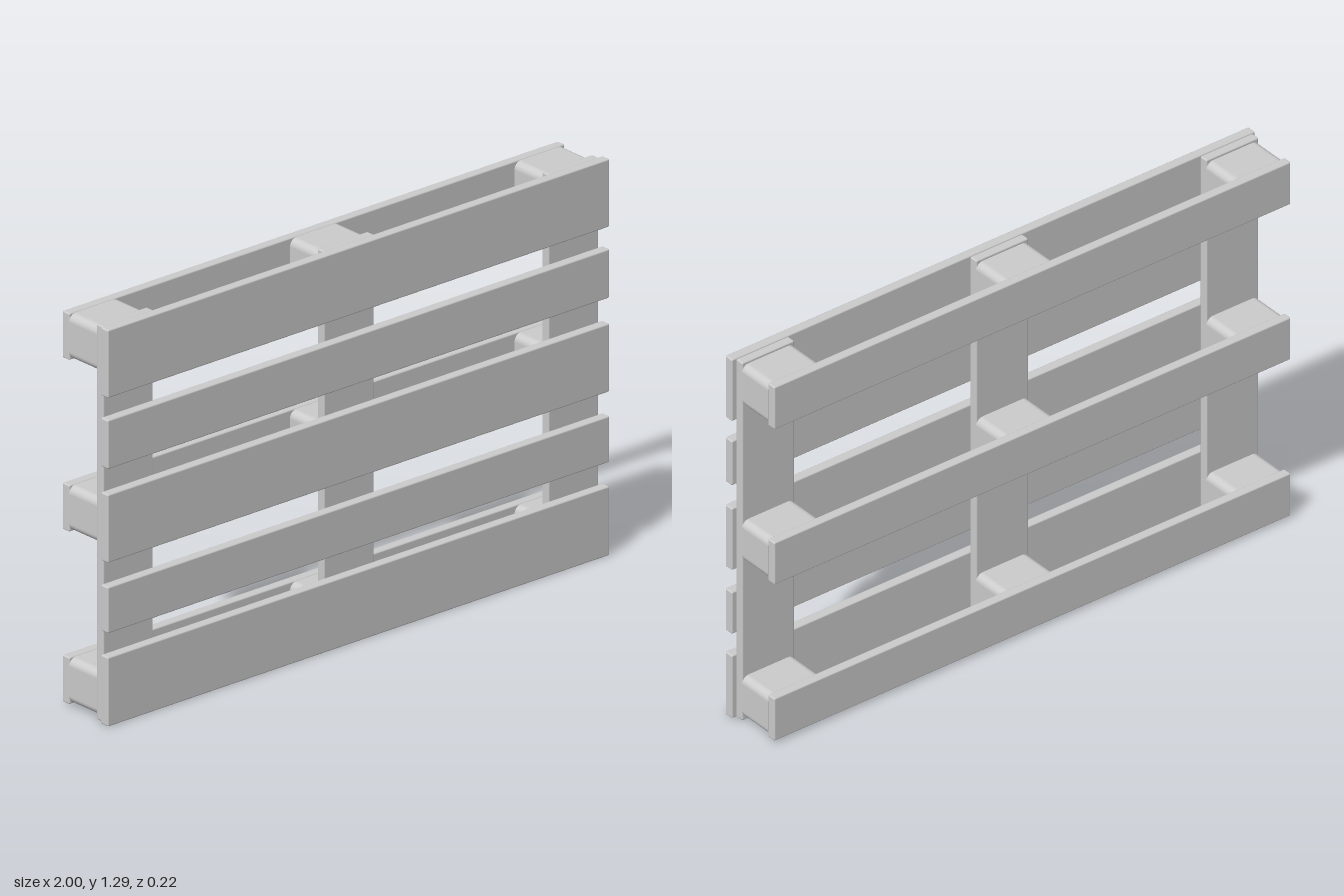
import * as THREE from 'three';
import { RoundedBoxGeometry } from 'three/addons/geometries/RoundedBoxGeometry.js';

const wood = new THREE.MeshStandardMaterial({ color: 0xcccccc });

// Plank with slightly eased edges, given by its extents
function plank(name, [x0, x1], [y0, y1], [z0, z1]) {
  const geometry = new RoundedBoxGeometry(x1 - x0, y1 - y0, z1 - z0, 2, 0.005);
  const mesh = new THREE.Mesh(geometry, wood);
  mesh.position.set((x0 + x1) / 2, (y0 + y1) / 2, (z0 + z1) / 2);
  mesh.name = name;
  return mesh;
}

// Spacer block with rounded edges along its depth
function block(name, [x0, x1], [y0, y1], [z0, z1]) {
  const r = 0.025;
  const s = new THREE.Shape();
  s.moveTo(x0 + r, y0);
  s.absarc(x1 - r, y0 + r, r, -Math.PI / 2, 0);
  s.absarc(x1 - r, y1 - r, r, 0, Math.PI / 2);
  s.absarc(x0 + r, y1 - r, r, Math.PI / 2, Math.PI);
  s.absarc(x0 + r, y0 + r, r, Math.PI, Math.PI * 1.5);
  const geometry = new THREE.ExtrudeGeometry(s, { depth: z1 - z0, bevelEnabled: false, curveSegments: 6 });
  geometry.translate(0, 0, z0);
  const mesh = new THREE.Mesh(geometry, wood);
  mesh.name = name;
  return mesh;
}

export function createModel() {
  const pallet = new THREE.Group();
  pallet.name = 'pallet';

  const columns = [[-0.99, -0.79], [-0.11, 0.09], [0.785, 0.985]];
  const rows = [[0.01, 0.163], [0.573, 0.725], [1.133, 1.286]];
  const deck = [[0, 0.226], [0.304, 0.455], [0.534, 0.757], [0.84, 1.0], [1.072, 1.294]];

  // Deck boards across the front, alternately wide and narrow
  deck.forEach((y) => pallet.add(plank('deckBoard', [-1, 1], y, [0.077, 0.11])));

  // Upright stringers behind the deck, each carrying three blocks
  columns.forEach((x) => {
    pallet.add(plank('stringer', x, [0.002, 1.292], [0.046, 0.077]));
    rows.forEach((y) => pallet.add(block('spacerBlock', x, [y[0] + 0.003, y[1] - 0.003], [-0.08, 0.048])));
  });

  // Runner boards across the back
  rows.forEach((y) => pallet.add(plank('runnerBoard', [-0.99, 0.985], y, [-0.11, -0.078])));

  return pallet;
}
